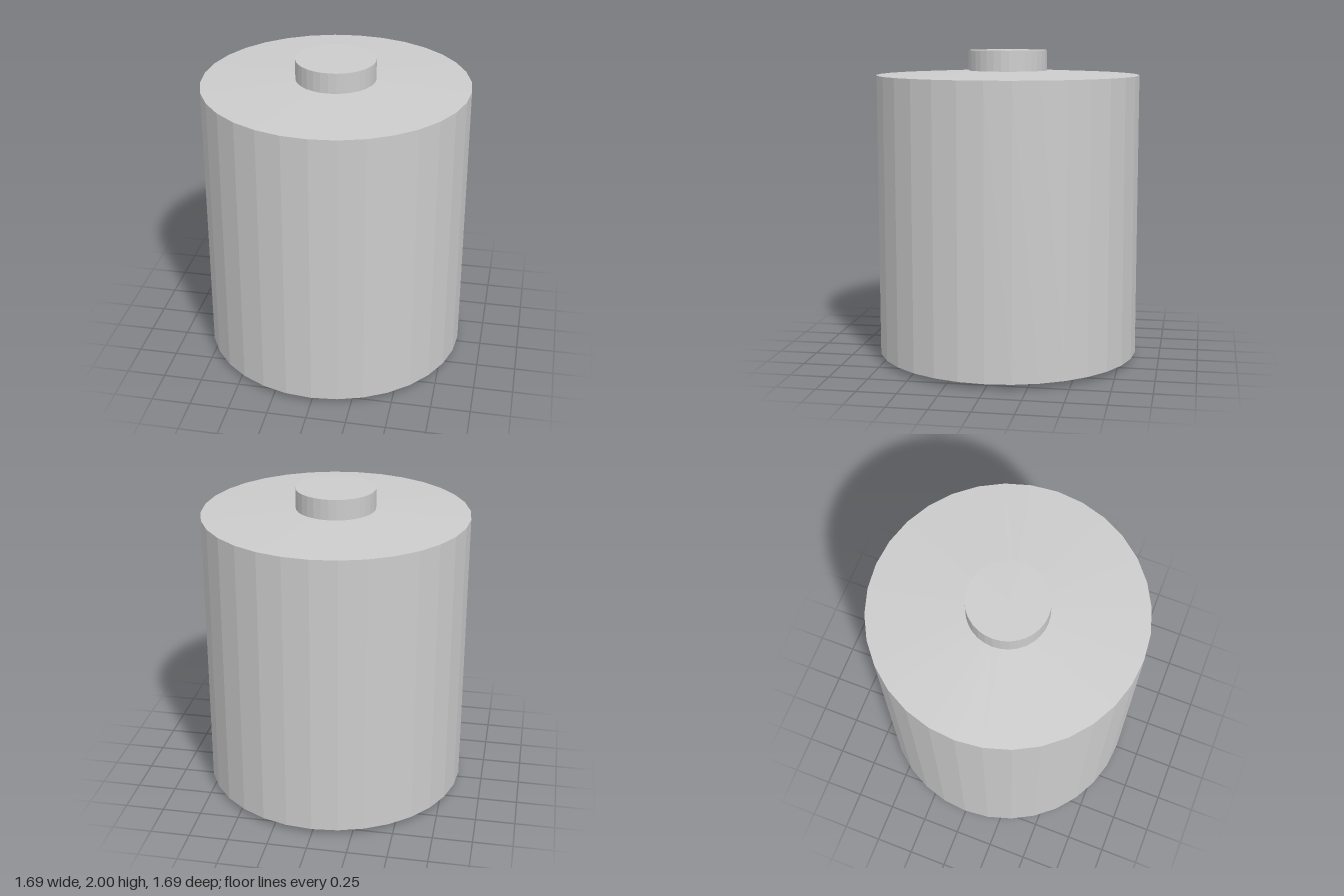
import * as THREE from 'three';

const SIDES = 32;

export function createModel() {
  const group = new THREE.Group();
  const material = new THREE.MeshStandardMaterial({ color: 0xcccccc, flatShading: true });

  // Turned part from [radius, height] points, listed bottom to top
  const addTurned = (name, profile) => {
    const points = profile.map(([r, y]) => new THREE.Vector2(r, y));
    const mesh = new THREE.Mesh(new THREE.LatheGeometry(points, SIDES), material);
    mesh.name = name;
    group.add(mesh);
  };

  // Raised base plate
  addTurned('basePlate', [[0, 0], [0.73, 0], [0.73, 0.016]]);

  // Casing with a shallow tapered underside and shoulder
  addTurned('casing', [[0.73, 0.016], [0.845, 0.036], [0.845, 1.842], [0.252, 1.87]]);

  // Small terminal on top
  addTurned('terminal', [[0.252, 1.87], [0.252, 2], [0, 2]]);

  return group;
}
